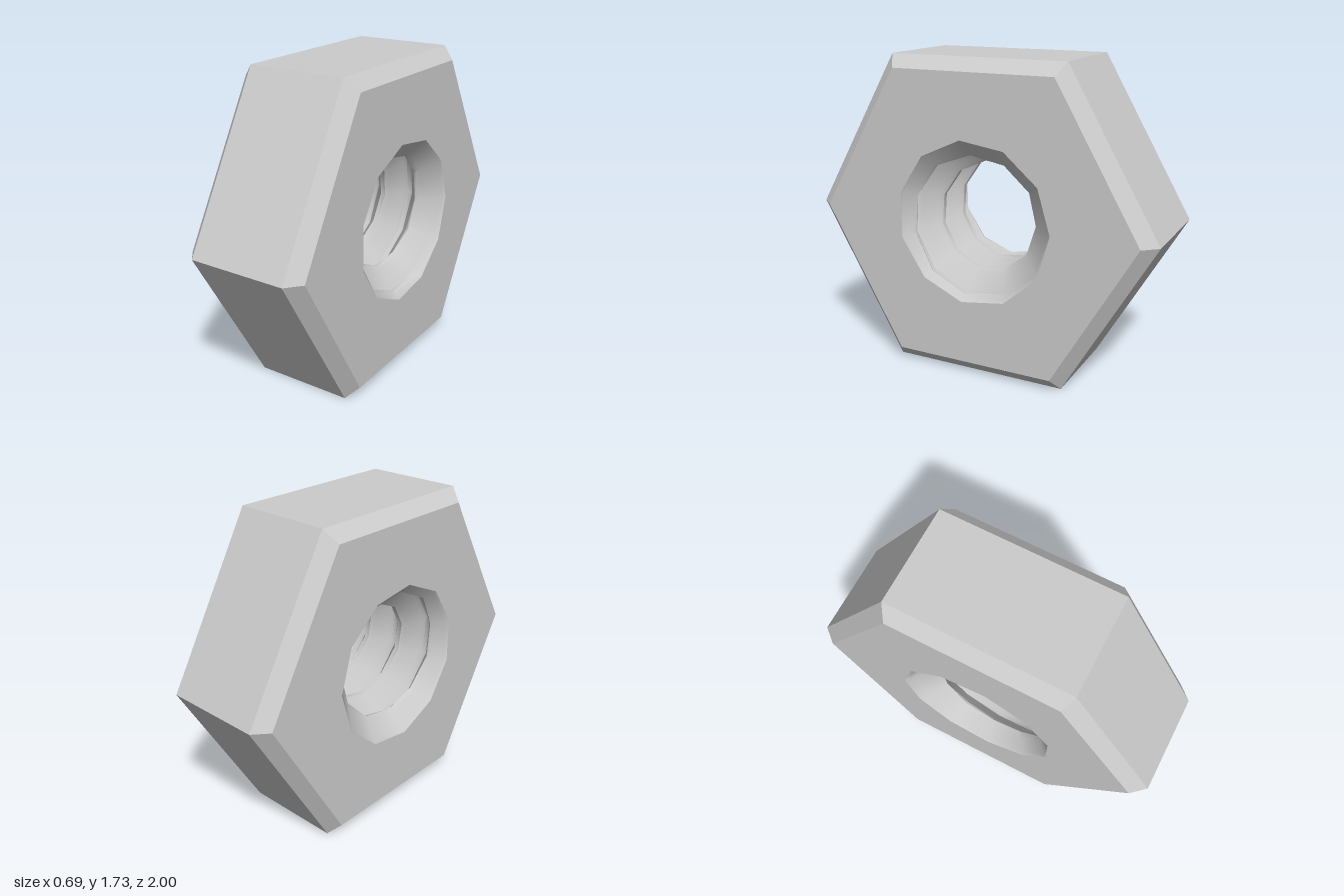
import * as THREE from 'three';
import { mergeGeometries, toCreasedNormals } from 'three/addons/utils/BufferGeometryUtils.js';

const HALF = 0.345, BODY = 0.275;         // half thickness, half width of the hex flats
const RIM = 1, FACE = 0.92;               // hexagon corner radii
const MOUTH = 0.45, CREST = 0.295, ROOT = 0.415;
const SIDES = 11, START = -0.143;         // facets of the bore and angle of the first
const PITCH = 0.23, SINK = 0.15;          // thread pitch, countersink depth

const angleAt = (i) => START + (i * 2 * Math.PI) / SIDES;

// Open hexagonal band along x
function hexBand(x0, r0, x1, r1) {
  const g = new THREE.CylinderGeometry(r1, r0, x1 - x0, 6, 1, true).toNonIndexed();
  g.rotateZ(-Math.PI / 2).translate((x0 + x1) / 2, 0, 0);
  g.computeVertexNormals();
  return g;
}

// Hexagonal end face with the bore cut out
function endFace(side) {
  const shape = new THREE.Shape();
  const hole = new THREE.Path();
  const ring = (n, r, angle) => Array.from({ length: n }, (_, i) =>
    new THREE.Vector2(side * r * Math.sin(angle(i)), r * Math.cos(angle(i))));
  shape.setFromPoints(ring(6, FACE, (i) => Math.PI / 2 + (i * Math.PI) / 3));
  hole.setFromPoints(ring(SIDES, MOUTH, angleAt));
  shape.holes.push(hole);
  const g = new THREE.ShapeGeometry(shape).toNonIndexed();
  return g.rotateY((side * Math.PI) / 2).translate(side * HALF, 0, 0);
}

// Thread profile over one pitch: [fraction, radius], starting mid crest
function threadProfile() {
  const rows = [];
  const keys = [[-0.06, CREST], [0.06, CREST], [0.44, ROOT], [0.56, ROOT], [0.94, CREST]];
  const steps = [1, 6, 1, 6];
  steps.forEach((n, k) => {
    for (let s = 0; s < n; s++) {
      rows.push(keys[k].map((v, c) => v + ((keys[k + 1][c] - v) * s) / n));
    }
  });
  return rows;
}

// Bore wall: rows follow the helix and are cut by a cone at each mouth
function boreGeometry() {
  const rows = threadProfile();
  const n = rows.length;
  const point = (i, j) => {
    const a = angleAt(i);
    const [f, r0] = rows[((j % n) + n) % n];
    const raw = 0.18 + PITCH * (f + Math.floor(j / n) - (a - 3.32) / (2 * Math.PI));
    const x = THREE.MathUtils.clamp(raw, -HALF, HALF);
    const cone = MOUTH - ((HALF - Math.abs(x)) * (MOUTH - CREST)) / SINK;
    const r = Math.abs(raw) >= HALF ? MOUTH : Math.max(r0, cone);
    return new THREE.Vector3(x, r * Math.cos(a), -r * Math.sin(a));
  };
  const pos = [];
  const tri = (a, b, c) => {
    if (new THREE.Triangle(a, b, c).getArea() > 1e-7) {
      for (const p of [a, b, c]) pos.push(p.x, p.y, p.z);
    }
  };
  for (let i = 0; i < SIDES; i++) {
    for (let j = -5 * n; j < 4 * n; j++) {
      const a = point(i, j), b = point(i + 1, j), c = point(i + 1, j + 1), d = point(i, j + 1);
      tri(a, b, c);
      tri(a, c, d);
    }
  }
  const g = new THREE.BufferGeometry();
  g.setAttribute('position', new THREE.Float32BufferAttribute(pos, 3));
  g.computeVertexNormals();
  return toCreasedNormals(g, 0.65);
}

export function createModel() {
  const group = new THREE.Group();
  group.name = 'hexNut';
  const material = new THREE.MeshStandardMaterial({ color: 0xcccccc });
  const add = (name, geometry) => {
    const mesh = new THREE.Mesh(geometry, material);
    mesh.name = name;
    mesh.position.y = Math.sqrt(3) / 2;
    group.add(mesh);
  };

  // Hexagonal body with chamfered rims
  add('hexBody', mergeGeometries([
    hexBand(-HALF, FACE, -BODY, RIM),
    hexBand(-BODY, RIM, BODY, RIM),
    hexBand(BODY, RIM, HALF, FACE),
  ]));
  add('leftFace', endFace(1));
  add('rightFace', endFace(-1));

  // Countersunk threaded bore
  add('threadedBore', boreGeometry());
  return group;
}
